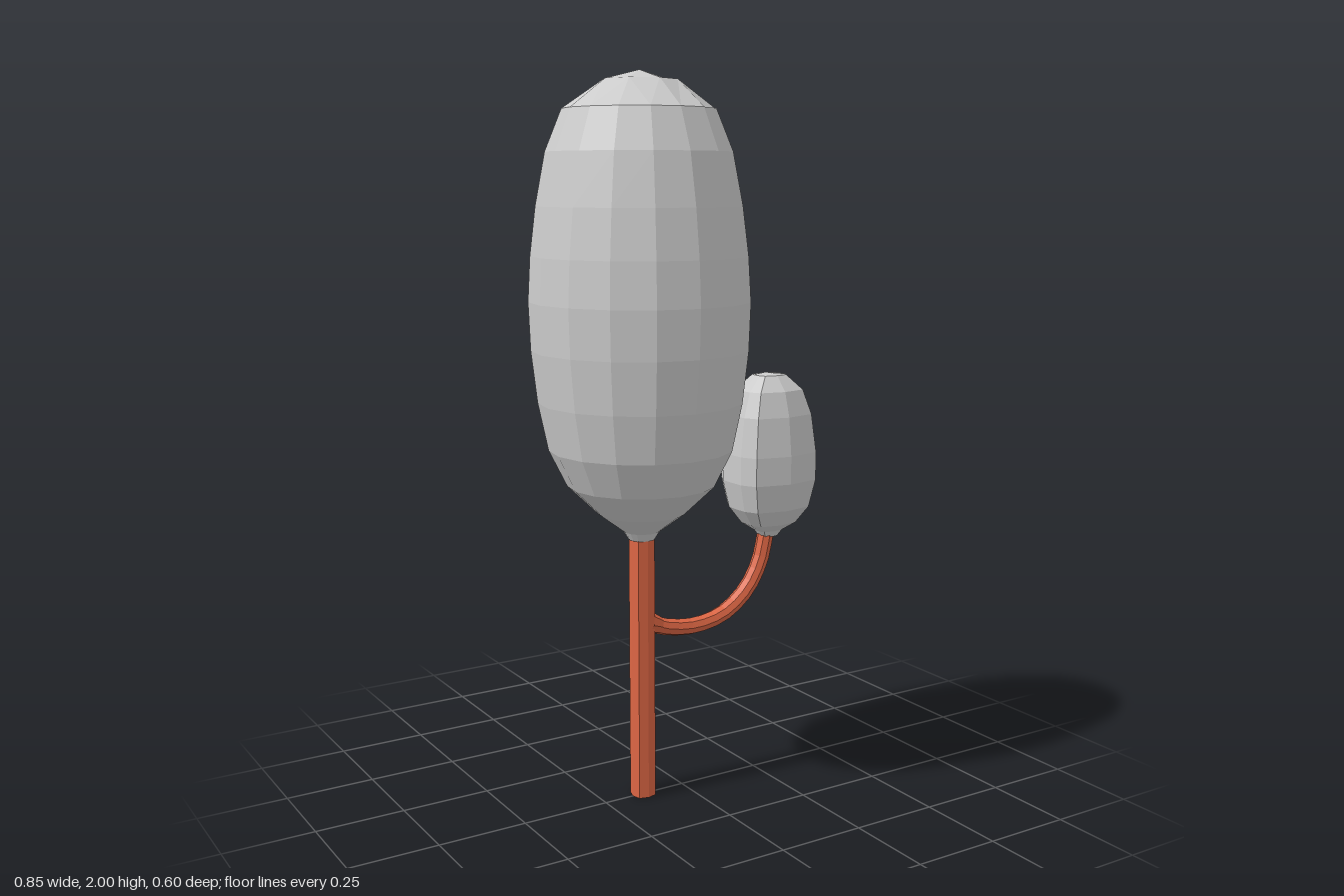
import * as THREE from 'three';

const bark = new THREE.MeshStandardMaterial({ color: 0xdd6644, flatShading: true });
const leaf = new THREE.MeshStandardMaterial({ color: 0xcccccc, flatShading: true });

function addPart(parent, name, geometry, material) {
  const mesh = new THREE.Mesh(geometry, material);
  mesh.name = name;
  parent.add(mesh);
  return mesh;
}

// Maps a grid box onto stacked rounded rings. rings: [radius, y] from top to bottom.
function crownGeometry({ rings, topY, segX, segZ, squash, corner }) {
  const rows = rings.length - 1;
  const geo = new THREE.BoxGeometry(2, 2, 2, segX, rows, segZ);
  const pos = geo.attributes.position;
  for (let i = 0; i < pos.count; i++) {
    const u = pos.getX(i), v = pos.getZ(i);
    const row = Math.round((1 - pos.getY(i)) / 2 * rows);
    const t = Math.max(Math.abs(u), Math.abs(v));
    // square ring to round ring
    let a = 0;
    if (t > 1e-6) {
      a = Math.abs(u) >= Math.abs(v)
        ? (v / u) * Math.PI / 4 + (u < 0 ? Math.PI : 0)
        : Math.PI / 2 - (u / v) * Math.PI / 4 + (v < 0 ? Math.PI : 0);
    }
    const diagonal = Math.sin(2 * a) ** 2;
    const [radius, ringY] = rings[row];
    const r = radius * t * (1 + corner * diagonal);
    // the top cap is domed
    const y = row === 0 ? topY + (ringY - topY) * t * t : ringY;
    pos.setXYZ(i, r * Math.cos(a), y, r * Math.sin(a) * squash);
  }
  geo.computeVertexNormals();
  return geo;
}

export function createModel() {
  const tree = new THREE.Group();
  tree.name = 'tree';
  const trunkX = -0.13;

  // Trunk: a square post with softly bent sides
  const h = 0.033, c = 0.026;
  const section = new THREE.Shape([
    [h, 0], [c, c], [0, h], [-c, c], [-h, 0], [-c, -c], [0, -h], [c, -c],
  ].map(([x, y]) => new THREE.Vector2(x, y)));
  const trunkGeo = new THREE.ExtrudeGeometry(section, { depth: 0.757, bevelEnabled: false });
  trunkGeo.rotateX(-Math.PI / 2);
  addPart(tree, 'trunk', trunkGeo, bark).position.x = trunkX;

  // Branch sweeping out and up
  const path = new THREE.CatmullRomCurve3([
    [-0.13, 0.51], [-0.06, 0.482], [0.04, 0.469], [0.14, 0.49],
    [0.22, 0.55], [0.267, 0.63], [0.288, 0.72],
  ].map(([x, y]) => new THREE.Vector3(x, y, 0)));
  addPart(tree, 'branch', new THREE.TubeGeometry(path, 14, 0.024, 8), bark);

  // Flare where the branch leaves the trunk
  const flare = addPart(tree, 'branchCollar', new THREE.CylinderGeometry(0.023, 0.033, 0.04, 8, 1, true), bark);
  flare.position.set(-0.092, 0.495, 0);
  flare.rotation.z = -Math.PI / 2 - 0.35;

  // Large crown
  addPart(tree, 'largeCrown', crownGeometry({
    topY: 2, segX: 4, segZ: 4, squash: 1, corner: 0,
    rings: [
      [0.205, 1.9], [0.25, 1.79], [0.277, 1.65], [0.293, 1.52], [0.3, 1.4], [0.295, 1.27],
      [0.279, 1.13], [0.252, 1.0], [0.203, 0.9], [0.12, 0.82], [0.05, 0.768], [0.036, 0.745],
    ],
  }), leaf).position.x = trunkX;

  // Small crown at the branch tip
  addPart(tree, 'smallCrown', crownGeometry({
    topY: 1.177, segX: 2, segZ: 4, squash: 0.87, corner: 0.14,
    rings: [
      [0.045, 1.172], [0.09, 1.13], [0.114, 1.06], [0.128, 0.95], [0.128, 0.87],
      [0.11, 0.79], [0.075, 0.742], [0.038, 0.718], [0.026, 0.7],
    ],
  }), leaf).position.x = 0.294;

  return tree;
}
